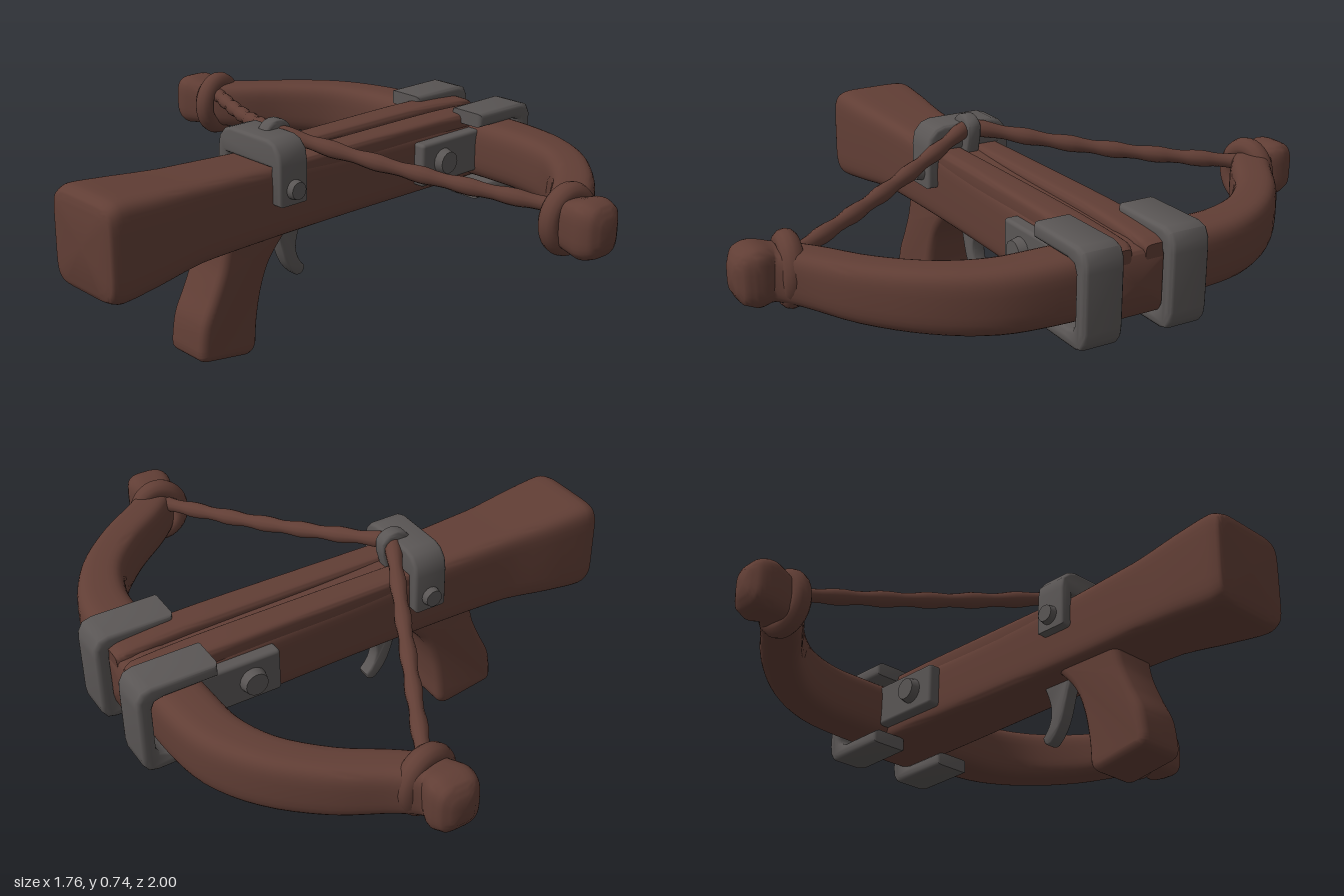
import * as THREE from 'three';
import { toCreasedNormals } from 'three/addons/utils/BufferGeometryUtils.js';
import { RoundedBoxGeometry } from 'three/addons/geometries/RoundedBoxGeometry.js';

const wood = new THREE.MeshStandardMaterial({ color: 0x613e35 });
wood.name = 'dark wood';
const metal = new THREE.MeshStandardMaterial({ color: 0x5a5655 });
metal.name = 'dull iron';

const V = (x, y, z) => new THREE.Vector3(x, y, z);

// Skin through stations [x, y, z, halfWidth, halfHeight]; power sets how square the section is
function loft(stations, steps, power, sides = 32) {
  const n = (stations.length - 1) * steps;
  const path = new THREE.CatmullRomCurve3(stations.map(s => V(s[0], s[1], s[2])));
  const size = new THREE.CatmullRomCurve3(stations.map(s => V(s[3], s[4], 0)));
  const bend = c => Math.sign(c) * Math.abs(c) ** power;
  const pos = [], idx = [];
  for (let i = 0; i <= n; i++) {
    const c = path.getPoint(i / n), h = size.getPoint(i / n);
    const t = path.getTangent(i / n);
    const u = V(0, 1, 0).cross(t).normalize(), v = t.clone().cross(u);
    for (let j = 0; j < sides; j++) {
      const a = (j + 0.5) / sides * Math.PI * 2;
      const p = c.clone().addScaledVector(u, bend(Math.cos(a)) * h.x).addScaledVector(v, bend(Math.sin(a)) * h.y);
      pos.push(p.x, p.y, p.z);
      const k = (j + 1) % sides, A = i * sides, B = A + sides;
      if (i < n) idx.push(A + j, A + k, B + k, A + j, B + k, B + j);
    }
  }
  // End caps
  const first = pos.length / 3, last = n * sides;
  for (const t of [0, 1]) pos.push(...path.getPoint(t).toArray());
  for (let j = 0; j < sides; j++) {
    const k = (j + 1) % sides;
    idx.push(first, k, j, first + 1, last + j, last + k);
  }
  const g = new THREE.BufferGeometry();
  g.setAttribute('position', new THREE.Float32BufferAttribute(pos, 3));
  g.setIndex(idx);
  return toCreasedNormals(g, 0.9);
}

// Outline extruded symmetrically about z = 0, with softened edges
function slab(shape, thickness, bevel) {
  const g = new THREE.ExtrudeGeometry(shape, {
    depth: thickness - 2 * bevel, bevelThickness: bevel, bevelSize: bevel,
    bevelOffset: -bevel, bevelSegments: 3, curveSegments: 8,
  });
  g.translate(0, 0, bevel - thickness / 2);
  return toCreasedNormals(g, 0.8);
}
const polygon = pts => new THREE.Shape(pts.map(p => new THREE.Vector2(...p)));

export function createModel() {
  const model = new THREE.Group();
  model.name = 'crossbow';
  const add = (name, geometry, material, x = 0, y = 0, z = 0) => {
    const m = new THREE.Mesh(geometry, material);
    m.name = name;
    m.position.set(x, y, z);
    model.add(m);
    return m;
  };

  // Stock, flared at the butt
  add('stock', loft([
    [-0.88, 0.508, 0, 0.12, 0.12], [-0.872, 0.508, 0, 0.145, 0.147], [-0.83, 0.508, 0, 0.154, 0.162],
    [-0.7, 0.51, 0, 0.147, 0.15], [-0.52, 0.513, 0, 0.127, 0.132], [-0.25, 0.508, 0, 0.119, 0.124],
    [0.1, 0.5, 0, 0.122, 0.114], [0.5, 0.496, 0, 0.132, 0.11], [0.8, 0.492, 0, 0.135, 0.106],
    [0.822, 0.492, 0, 0.13, 0.1], [0.83, 0.492, 0, 0.115, 0.088],
  ], 4, 0.32, 40), wood);

  // Rails on either side of the bolt groove
  for (const s of [1, -1]) {
    add('grooveRail', loft([
      [-0.2, 0.6, s * 0.068, 0.046, 0.036], [0.2, 0.6, s * 0.07, 0.05, 0.036],
      [0.6, 0.595, s * 0.072, 0.054, 0.038], [0.8, 0.585, s * 0.07, 0.056, 0.034],
      [0.832, 0.582, s * 0.07, 0.045, 0.024],
    ], 4, 0.4, 24), wood);
  }

  // Grip
  const grip = new THREE.Shape();
  grip.moveTo(-0.41, 0.43);
  grip.lineTo(-0.41, 0.38);
  grip.splineThru([[-0.425, 0.32], [-0.46, 0.24], [-0.498, 0.16], [-0.512, 0.08], [-0.512, 0.05]].map(p => new THREE.Vector2(...p)));
  grip.quadraticCurveTo(-0.508, 0.03, -0.48, 0.026);
  grip.lineTo(-0.33, 0.002);
  grip.quadraticCurveTo(-0.292, 0, -0.284, 0.04);
  grip.splineThru([[-0.278, 0.12], [-0.258, 0.22], [-0.22, 0.31], [-0.15, 0.39]].map(p => new THREE.Vector2(...p)));
  grip.lineTo(-0.15, 0.43);
  add('grip', slab(grip, 0.172, 0.025), wood);

  // Trigger
  const trigger = new THREE.Shape();
  trigger.moveTo(-0.15, 0.41);
  trigger.lineTo(-0.15, 0.375);
  trigger.bezierCurveTo(-0.125, 0.31, -0.125, 0.24, -0.06, 0.19);
  trigger.quadraticCurveTo(-0.03, 0.18, -0.024, 0.215);
  trigger.bezierCurveTo(-0.075, 0.265, -0.07, 0.31, -0.035, 0.385);
  trigger.lineTo(-0.035, 0.41);
  add('trigger', slab(trigger, 0.05, 0.01), metal);

  // Bow limbs with knobbed tips
  const half = [
    [0.73, 0.5, 0.25, 0.09, 0.102], [0.712, 0.5, 0.4, 0.084, 0.1], [0.645, 0.505, 0.55, 0.074, 0.096],
    [0.515, 0.51, 0.69, 0.07, 0.09], [0.365, 0.52, 0.8, 0.068, 0.082], [0.3, 0.525, 0.87, 0.066, 0.08],
    [0.29, 0.53, 0.935, 0.079, 0.092], [0.29, 0.53, 0.98, 0.066, 0.078], [0.29, 0.53, 1, 0.036, 0.045],
  ];
  const other = half.map(([x, y, z, w, h]) => [x, y, -z, w, h]).reverse();
  add('bow', loft([...other, [0.73, 0.5, 0, 0.09, 0.104], ...half], 4, 0.55), wood);

  for (const s of [1, -1]) {
    // Cord loop around the limb tip
    const loop = add('cordLoop', new THREE.TorusGeometry(0.077, 0.032, 12, 32), wood, 0.304, 0.528, s * 0.835);
    loop.rotation.y = s * -0.15;
    loop.scale.set(0.97, 1.08, 1.1);

    // Bowstring with a lightly twisted thickness
    const cord = [];
    for (let i = 0; i <= 24; i++) {
      const t = i / 24, r = 0.025 + 0.003 * Math.sin(i * 1.6);
      cord.push([-0.13 + 0.415 * t, 0.7 - 0.135 * t - 0.015 * Math.sin(Math.PI * t), s * (0.01 + 0.79 * t), r, r]);
    }
    add('bowstring', loft(cord, 2, 1, 12), wood);

    // Clamp hooked around the front of the bow
    add('bowClamp', slab(polygon([
      [0.612, 0.65], [0.83, 0.65], [0.862, 0.64], [0.878, 0.61], [0.88, 0.58], [0.88, 0.4], [0.876, 0.37],
      [0.86, 0.346], [0.83, 0.338], [0.612, 0.342], [0.612, 0.39], [0.79, 0.388], [0.82, 0.4], [0.83, 0.42],
      [0.83, 0.57], [0.82, 0.592], [0.79, 0.6], [0.612, 0.602],
    ]), 0.136, 0.016), metal, 0, 0, s * 0.147);

    // Side plate with its bolt
    add('sidePlate', new RoundedBoxGeometry(0.28, 0.15, 0.05, 3, 0.012), metal, 0.52, 0.505, s * 0.145);
    const bolts = [['plateBolt', 0.48, 0.505, 0.184, 0.045], ['bandBolt', -0.185, 0.558, 0.16, 0.034]];
    for (const [name, x, y, z, r] of bolts) {
      const bolt = add(name, new THREE.CylinderGeometry(r * 0.85, r, 0.03, 16), metal, x, y, s * z);
      bolt.rotation.x = s * Math.PI / 2;
    }
  }

  // Band over the stock
  const band = add('stockBand', slab(polygon([
    [-0.153, 0.508], [-0.152, 0.64], [-0.145, 0.68], [-0.12, 0.708], [-0.09, 0.718], [0.09, 0.718],
    [0.12, 0.708], [0.145, 0.68], [0.152, 0.64], [0.153, 0.508], [0.108, 0.508], [0.108, 0.63],
    [-0.108, 0.63], [-0.108, 0.508],
  ]), 0.12, 0.012), metal, -0.186, 0, 0);
  band.rotation.y = Math.PI / 2;

  // Latch holding the string
  const latch = new THREE.Shape();
  latch.moveTo(-0.2, 0.6);
  latch.lineTo(-0.195, 0.7);
  latch.bezierCurveTo(-0.18, 0.755, -0.11, 0.76, -0.083, 0.715);
  latch.lineTo(-0.085, 0.67);
  latch.lineTo(-0.11, 0.58);
  add('latch', slab(latch, 0.05, 0.012), metal);

  return model;
}
